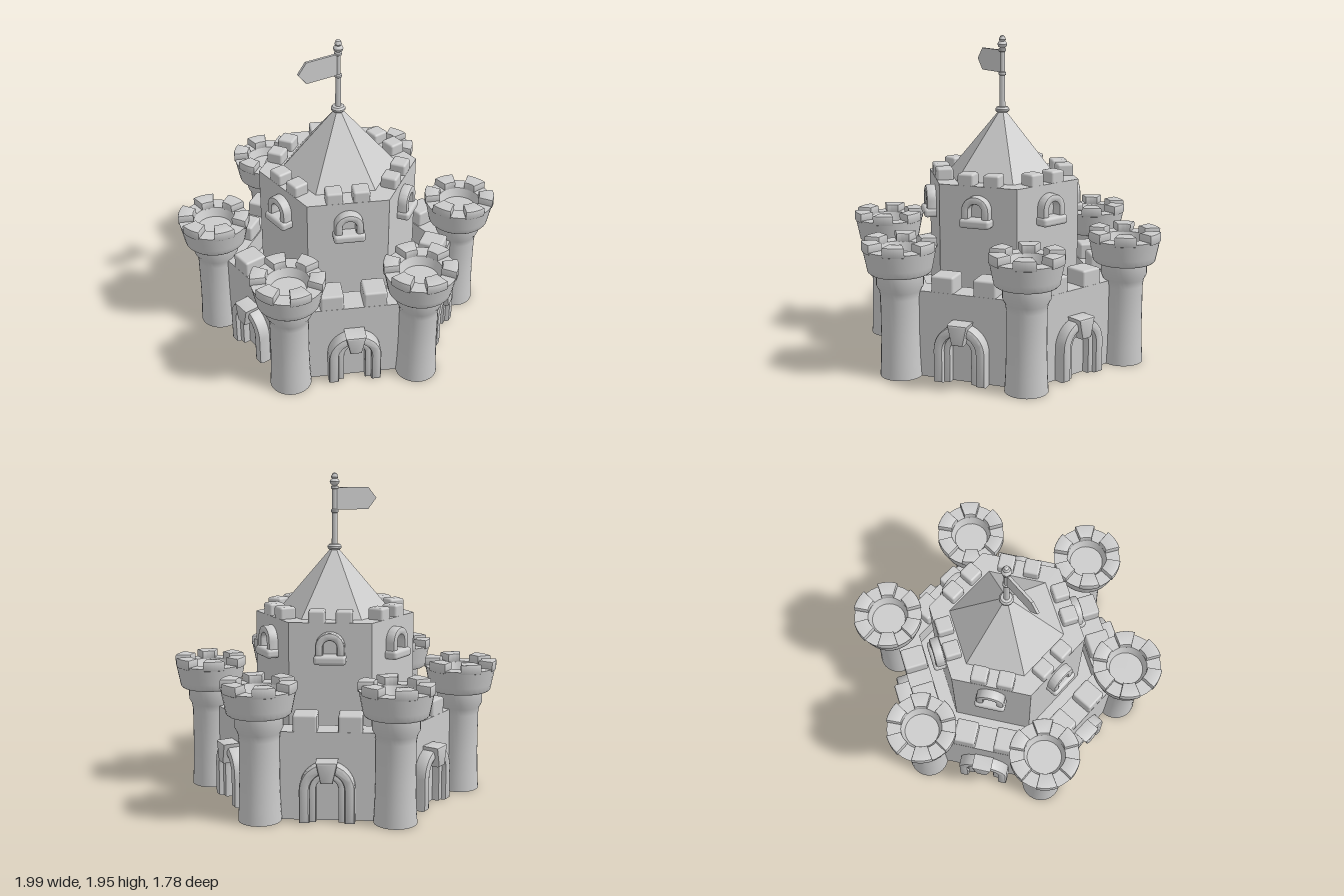
import * as THREE from 'three';
import { toCreasedNormals } from 'three/addons/utils/BufferGeometryUtils.js';
import { RoundedBoxGeometry } from 'three/addons/geometries/RoundedBoxGeometry.js';

const smooth = new THREE.MeshStandardMaterial({ color: 0xcccccc, side: THREE.DoubleSide });
const flat = new THREE.MeshStandardMaterial({ color: 0xcccccc, side: THREE.DoubleSide, flatShading: true });
const HEX = 1 / Math.cos(Math.PI / 6); // apothem to corner radius

function add(parent, name, geometry, x = 0, y = 0, z = 0, material = smooth) {
  const mesh = new THREE.Mesh(geometry, material);
  mesh.name = name;
  mesh.position.set(x, y, z);
  parent.add(mesh);
  return mesh;
}

function sub(parent, name) {
  const group = new THREE.Group();
  group.name = name;
  parent.add(group);
  return group;
}

// Six-sided prism with corners on the x axis
function hexPrism(apothem, height, open = false) {
  const r = apothem * HEX;
  return new THREE.CylinderGeometry(r, r, height, 6, 1, open, Math.PI / 6);
}

function lathe(points, segments = 32) {
  const profile = points.map(([x, y]) => new THREE.Vector2(x, y));
  return toCreasedNormals(new THREE.LatheGeometry(profile, segments), 0.6);
}

// Extrusion whose softened edges stay inside the outline
function extrude(shape, depth, bevel = 0.012) {
  const geometry = new THREE.ExtrudeGeometry(shape, {
    depth: depth - bevel, bevelThickness: bevel, bevelSize: bevel, bevelOffset: -bevel,
    bevelSegments: 2, curveSegments: 12, bevelEnabled: bevel > 0,
  });
  return toCreasedNormals(geometry, 0.6);
}

// Round-topped frame standing on y = bottom
function arch(outer, inner, bottom, spring, depth, bevel) {
  const s = new THREE.Shape();
  s.moveTo(outer, bottom);
  s.lineTo(outer, spring);
  s.absarc(0, spring, outer, 0, Math.PI, false);
  s.lineTo(-outer, bottom);
  s.lineTo(-inner, bottom);
  s.lineTo(-inner, spring);
  s.absarc(0, spring, inner, Math.PI, 0, true);
  s.lineTo(inner, bottom);
  return extrude(s, depth, bevel);
}

function polygon(points) {
  return new THREE.Shape(points.map(([x, y]) => new THREE.Vector2(x, y)));
}

// One side of the curtain wall: battlements and an arched gate
function wallSide(parent) {
  const side = sub(parent, 'wallSide');
  for (const s of [-1, 1]) {
    add(side, 'wallMerlon', new RoundedBoxGeometry(0.14, 0.16, 0.148, 2, 0.014), s * 0.13, 0.537, 0.59);
  }
  add(side, 'gateArch', arch(0.16, 0.1, 0, 0.195, 0.075, 0.018), 0, 0, 0.665);
  add(side, 'innerGateArch', arch(0.105, 0.064, 0, 0.195, 0.045, 0.008), 0, 0, 0.665);
  const keystone = polygon([[-0.035, 0.245], [0.035, 0.245], [0.062, 0.367], [-0.062, 0.367]]);
  add(side, 'gateKeystone', extrude(keystone, 0.1), 0, 0, 0.665);
  return side;
}

// One side of the keep: battlements and a window
function keepSide(parent) {
  const side = sub(parent, 'keepSide');
  for (const s of [-1, 1]) {
    add(side, 'keepMerlon', new RoundedBoxGeometry(0.1, 0.13, 0.1, 2, 0.014), s * 0.08, 1.11, 0.369);
  }
  add(side, 'windowArch', arch(0.086, 0.04, 0.9, 0.968, 0.06, 0.014), 0, 0, 0.418);
  add(side, 'windowSill', new RoundedBoxGeometry(0.19, 0.056, 0.09, 3, 0.02), 0, 0.895, 0.45);
  return side;
}

// Round corner tower with a flared crown and merlons flush with its rim
function tower(parent) {
  const group = sub(parent, 'tower');
  add(group, 'towerShaft', lathe([
    [0.126, 0], [0.12, 0.1], [0.116, 0.25], [0.116, 0.48], [0.122, 0.52], [0.138, 0.55], [0.138, 0.63],
  ]));
  add(group, 'towerCrown', lathe([
    [0.138, 0.626], [0.177, 0.626], [0.187, 0.636], [0.194, 0.67], [0.215, 0.775],
    [0.128, 0.775], [0.124, 0.765], [0.106, 0.72], [0, 0.72],
  ]));
  const half = 0.3;
  const merlonShape = new THREE.Shape();
  merlonShape.absarc(0, 0, 0.219, -half, half, false);
  merlonShape.absarc(0, 0, 0.126, half, -half, true);
  const merlonGeometry = extrude(merlonShape, 0.054, 0.007);
  for (let i = 0; i < 6; i++) {
    const merlon = add(group, 'towerMerlon', merlonGeometry, 0, 0.767, 0);
    merlon.rotation.set(-Math.PI / 2, 0, (i * Math.PI) / 3 - 0.26);
  }
  return group;
}

export function createModel() {
  const castle = new THREE.Group();
  castle.name = 'castle';

  // Curtain wall shell, walkway and courtyard floor
  add(castle, 'outerWall', hexPrism(0.665, 0.52, true), 0, 0.26, 0, flat);
  add(castle, 'innerWall', hexPrism(0.51, 0.22, true), 0, 0.41, 0, flat);
  const walk = add(castle, 'wallWalk', new THREE.RingGeometry(0.51 * HEX, 0.665 * HEX, 6, 1), 0, 0.52, 0, flat);
  walk.rotation.x = -Math.PI / 2;
  add(castle, 'courtyardFloor', hexPrism(0.51, 0.02), 0, 0.37, 0, flat);

  // Keep and roof
  add(castle, 'keep', hexPrism(0.42, 0.735), 0, 0.7375, 0, flat);
  add(castle, 'roof', new THREE.ConeGeometry(0.358, 0.42, 6, 1, false, Math.PI / 6), 0, 1.312, 0, flat);

  // Repeated sides and corner towers
  for (let i = 0; i < 6; i++) {
    const angle = (i * Math.PI) / 3;
    wallSide(castle).rotation.y = angle;
    keepSide(castle).rotation.y = angle;
    const corner = tower(castle);
    corner.position.set(0.777 * Math.cos(angle), 0, 0.777 * Math.sin(angle));
    corner.rotation.y = -angle;
  }

  // Flagpole with collars and finial
  add(castle, 'flagpole', lathe([
    [0, 1.486], [0.034, 1.488], [0.043, 1.498], [0.043, 1.508], [0.034, 1.52], [0.018, 1.523],
    [0.016, 1.71], [0.023, 1.715], [0.023, 1.728], [0.015, 1.733], [0.015, 1.852],
    [0.023, 1.857], [0.023, 1.87], [0.014, 1.875], [0.026, 1.885], [0.03, 1.898],
    [0.024, 1.91], [0.016, 1.915], [0.022, 1.925], [0.014, 1.945], [0, 1.953],
  ], 20));

  // Pointed pennant
  const pennant = polygon([[0.01, 1.728], [0.215, 1.728], [0.268, 1.795], [0.215, 1.862], [0.01, 1.862]]);
  const flag = add(castle, 'flag', extrude(pennant, 0.016, 0).translate(0, 0, -0.008));
  flag.rotation.y = Math.PI + 0.4;

  return castle;
}
